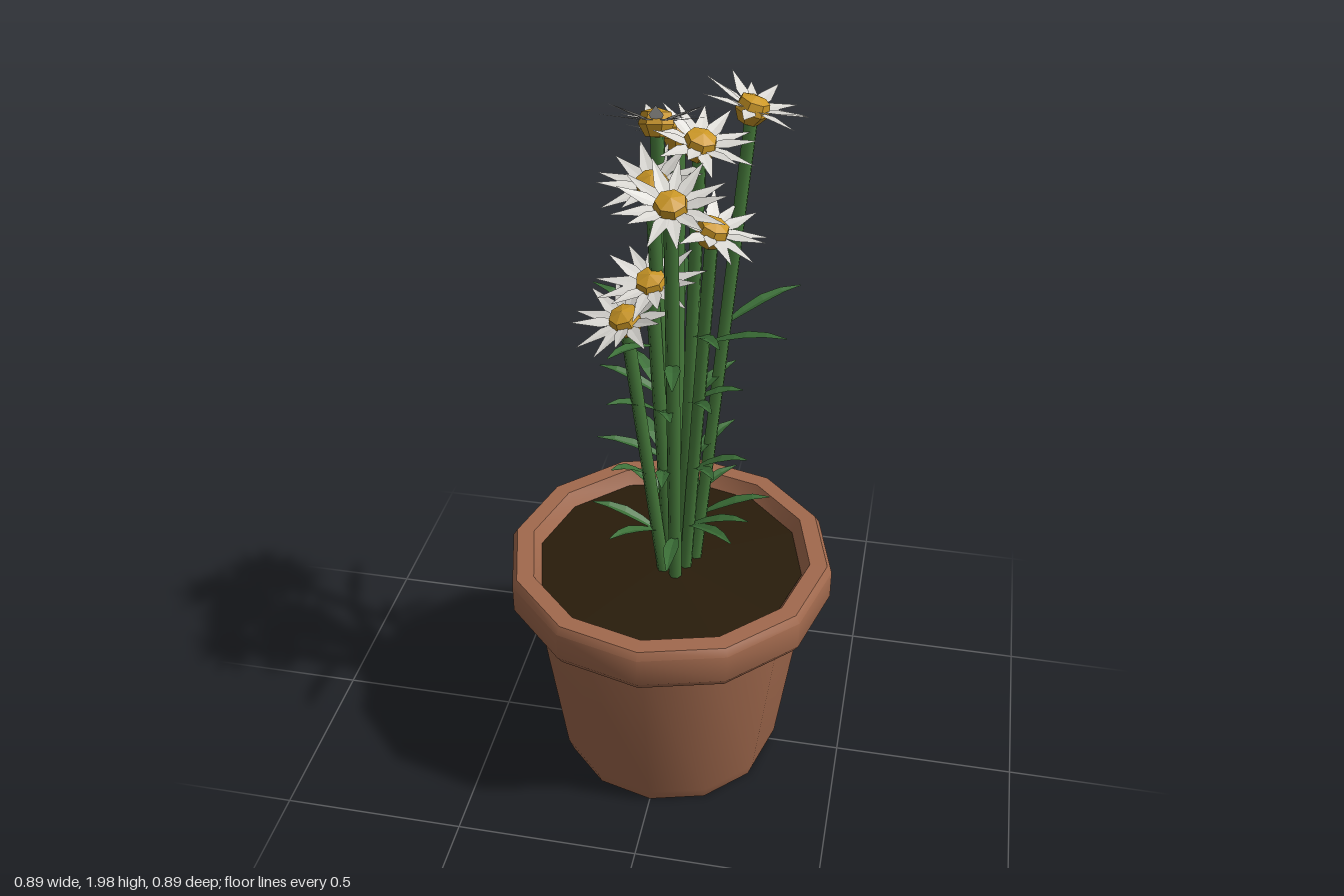
import * as THREE from 'three';
import { mergeGeometries, toCreasedNormals } from 'three/addons/utils/BufferGeometryUtils.js';

const V = (x, y, z) => new THREE.Vector3(x, y, z);

// Flower heads: x, y, z of the yellow centre, then the lean of the head in x and z
const FLOWERS = [
  [-0.01, 1.81, -0.16, 0, -0.32], [0.173, 1.91, -0.115, 0.32, -0.08], [-0.035, 1.9, -0.02, -0.05, -0.38],
  [0.07, 1.86, 0, 0.3, 0.18], [-0.03, 1.775, 0.06, -0.1, 0.3], [-0.03, 1.53, 0.075, -0.12, 0.34],
  [-0.085, 1.45, 0.122, -0.28, 0.32], [0.04, 1.79, 0.195, 0.05, 0.38], [0.108, 1.66, 0.035, 0.38, 0.08],
];

// Leaf whorls: height of the tips, then tip positions as x, z
const WHORLS = [
  [0.84, [[-0.2, 0.05], [0.26, -0.06], [0.05, 0.3], [-0.03, -0.29], [0.19, 0.16], [-0.15, -0.13], [-0.12, 0.2], [0.15, -0.19], [0.22, 0.06]]],
  [1.03, [[-0.19, 0.02], [0.21, 0.05], [0.02, 0.21], [0.04, -0.19], [-0.12, 0.16], [0.15, -0.13], [-0.11, -0.12], [0.14, 0.15]]],
  [1.22, [[-0.19, -0.03], [0.19, 0.02], [0.04, 0.2], [-0.02, -0.19], [-0.13, 0.15], [0.15, -0.12], [0.13, 0.14], [-0.13, -0.13]]],
  [1.415, [[-0.22, -0.11], [0.3, 0.08], [0.075, 0.36], [-0.025, -0.335], [0.3, -0.195], [-0.1, 0.25], [-0.18, 0.05], [0.15, 0.16]]],
];

const SOIL_Y = 0.635;

// Point on a stem at a given height; the stems gather at the soil
function stemPoint([x, y, z], h) {
  const t = Math.max(0, (h - SOIL_Y) / (y - SOIL_Y));
  const k = 0.3 + 0.7 * t;
  return V(x * k + 0.015 * (1 - t), h, z * k + 0.005 * (1 - t));
}

// Pointed blade: a strip of three-point cross-sections
function blade(sections) {
  const pos = [], index = [];
  sections.forEach((s, i) => {
    s.forEach(p => pos.push(p.x, p.y, p.z));
    if (!i) return;
    const a = (i - 1) * 3, b = i * 3;
    for (let j = 0; j < 2; j++) index.push(a + j, a + j + 1, b + j, a + j + 1, b + j + 1, b + j);
  });
  const g = new THREE.BufferGeometry();
  g.setAttribute('position', new THREE.Float32BufferAttribute(pos, 3));
  g.setIndex(index);
  const flat = g.toNonIndexed();
  flat.computeVertexNormals();
  return flat;
}

// Leaf that climbs from the stem and levels off at its tip
function leaf(from, to) {
  const side = V(to.z - from.z, 0, from.x - to.x).normalize();
  const widths = [0.007, 0.016, 0.019, 0.013, 0.002];
  return blade(widths.map((w, i) => {
    const t = i / 4;
    const c = from.clone().lerp(to, t);
    c.y = from.y + (to.y - from.y) * Math.sin(t * Math.PI / 2);
    const edge = s => c.clone().addScaledVector(side, s * w).add(V(0, w * 0.3, 0));
    return [edge(1), c, edge(-1)];
  }));
}

// Ring of narrow petals, alternating low and high
function petalRing(count) {
  const petals = [];
  for (let i = 0; i < count; i++) {
    const lift = i % 2 ? 0.035 : 0.012, reach = i % 2 ? 0.124 : 0.136;
    const rows = [[0.02, 0.009, 0], [0.06, 0.0175, 0.4], [reach, 0.001, 1]];
    const g = blade(rows.map(([r, w, t]) => [
      V(r, lift * t, -w), V(r, lift * t - w * 0.1, 0), V(r, lift * t, w),
    ]));
    g.rotateY((i / count) * Math.PI * 2 + 0.1);
    petals.push(g);
  }
  return mergeGeometries(petals);
}

export function createModel() {
  const mat = (name, color, side = THREE.FrontSide) => {
    const m = new THREE.MeshStandardMaterial({ color, side });
    m.name = name;
    return m;
  };
  const terracotta = mat('terracotta', 0xa1694d);
  const earth = mat('earth', 0x291c0a);
  const stemGreen = mat('stem green', 0x467a3b);
  const leafGreen = mat('leaf green', 0x3c7038, THREE.DoubleSide);
  const petalWhite = mat('petal white', 0xdad8d3, THREE.DoubleSide);
  const yellow = mat('centre yellow', 0xcb9726);
  yellow.flatShading = true;

  const model = new THREE.Group();
  model.name = 'pottedDaisies';
  const add = (parent, name, geometry, material) => {
    const mesh = new THREE.Mesh(geometry, material);
    mesh.name = name;
    parent.add(mesh);
    return mesh;
  };
  const lathe = (points, sides) =>
    new THREE.LatheGeometry(points.map(p => new THREE.Vector2(...p)), sides);

  // Twelve-sided pot with a thick rim
  const pot = lathe([
    [0, 0], [0.298, 0], [0.312, 0.04], [0.38, 0.55], [0.428, 0.55], [0.445, 0.575],
    [0.445, 0.655], [0.432, 0.675], [0.385, 0.675], [0.362, 0.63],
  ], 12);
  add(model, 'pot', toCreasedNormals(pot, 0.6), terracotta);

  // Soil
  const soil = add(model, 'soil', new THREE.CircleGeometry(0.364, 12).rotateX(-Math.PI / 2), earth);
  soil.position.y = SOIL_Y;

  // Stems and flower heads
  const petals = petalRing(13);
  const centre = lathe([[0, -0.038], [0.026, -0.036], [0.043, -0.008], [0.036, 0.02], [0, 0.03]], 7);
  FLOWERS.forEach((f, i) => {
    const [x, y, z, leanX, leanZ] = f;
    const points = [0, 0.33, 0.66, 1].map(t => stemPoint(f, SOIL_Y + (y - SOIL_Y) * t));
    add(model, 'stem', new THREE.TubeGeometry(new THREE.CatmullRomCurve3(points), 6, 0.0175, 6), stemGreen);

    const head = new THREE.Group();
    head.name = 'flower';
    head.position.set(x, y, z);
    head.quaternion.setFromUnitVectors(V(0, 1, 0), V(leanX, 1, leanZ).normalize());
    head.rotateY(i * 0.7);
    add(head, 'petals', petals, petalWhite);
    add(head, 'flowerCentre', centre, yellow);
    model.add(head);
  });

  // Leaves, each growing from a stem on its own side of the clump
  const leaves = [];
  for (const [y, tips] of WHORLS) {
    for (const [x, z] of tips) {
      const near = V(x * 0.3, y - 0.065, z * 0.3);
      const roots = FLOWERS.filter(f => f[1] > y).map(f => stemPoint(f, near.y));
      roots.sort((a, b) => a.distanceTo(near) - b.distanceTo(near));
      leaves.push(leaf(roots[0], V(x, y, z)));
    }
  }
  add(model, 'leaves', mergeGeometries(leaves), leafGreen);

  return model;
}
